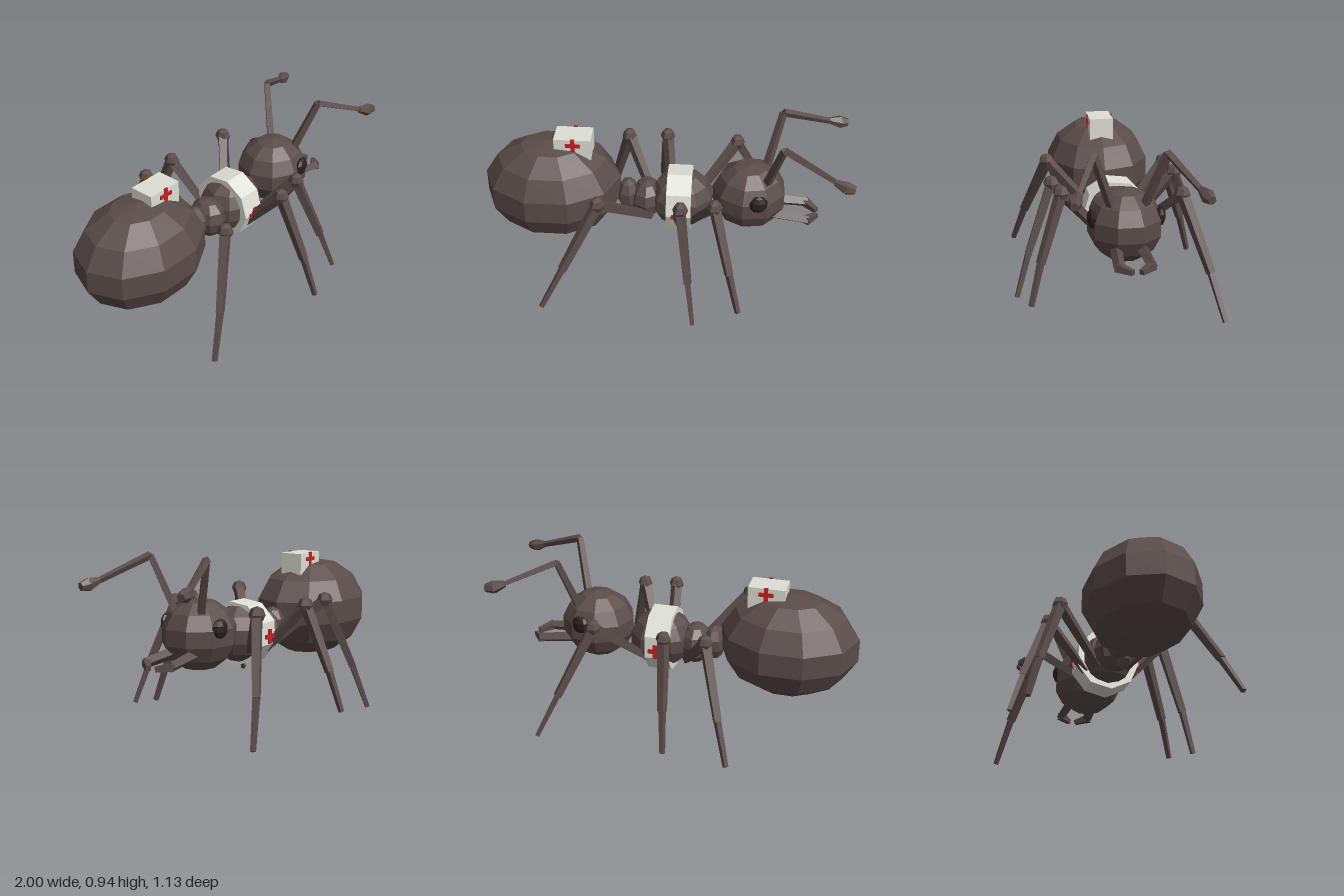
import * as THREE from 'three';

const paint = (name, color) => Object.assign(new THREE.MeshStandardMaterial({ color }), { name });
const V = (x, y, z) => new THREE.Vector3(x, y, z);

export function createModel() {
  const model = new THREE.Group();
  model.name = 'ant';
  const brown = paint('shell brown', 0x5a4c4a);
  const dark = paint('eye dark', 0x2a2021);
  const white = paint('bandage white', 0xdedfd6);
  const red = paint('cross red', 0xc9201f);

  // Faceted mesh: every face gets its own normal
  function add(name, geometry, material, parent = model) {
    const g = geometry.index ? geometry.toNonIndexed() : geometry;
    g.computeVertexNormals();
    const mesh = new THREE.Mesh(g, material);
    mesh.name = name;
    parent.add(mesh);
    return mesh;
  }
  // Low-poly ellipsoid
  function blob(name, c, r, w, h, material = brown, parent = model) {
    const g = new THREE.SphereGeometry(1, w, h).scale(r[0], r[1], r[2]);
    const m = add(name, g, material, parent);
    m.position.set(c[0], c[1], c[2]);
    return m;
  }
  // Tapered limb from a to b
  function limb(name, a, b, ra, rb, parent, sides = 4) {
    const d = b.clone().sub(a);
    const m = add(name, new THREE.CylinderGeometry(rb, ra, d.length(), sides), brown, parent);
    m.position.copy(a).addScaledVector(d, 0.5);
    m.quaternion.setFromUnitVectors(V(0, 1, 0), d.normalize());
    return m;
  }
  // Thin plus-shaped plate facing +z or -z
  function cross(name, x, y, z, half, arm) {
    const s = new THREE.Shape([
      [arm, arm], [arm, half], [-arm, half], [-arm, arm], [-half, arm], [-half, -arm],
      [-arm, -arm], [-arm, -half], [arm, -half], [arm, -arm], [half, -arm], [half, arm],
    ].map(([px, py]) => new THREE.Vector2(px, py)));
    const g = new THREE.ExtrudeGeometry(s, { depth: 0.008, bevelEnabled: false });
    g.translate(0, 0, -0.004);
    add(name, g, red).position.set(x, y, z);
  }

  // Body
  blob('abdomen', [-0.625, 0.512, 0], [0.385, 0.288, 0.307], 10, 7);
  blob('waistNode', [-0.21, 0.46, 0], [0.065, 0.1, 0.075], 7, 5);
  blob('rearThorax', [-0.105, 0.445, 0], [0.09, 0.115, 0.112], 8, 6);
  blob('thorax', [0.09, 0.455, 0], [0.18, 0.165, 0.168], 9, 7);
  blob('head', [0.46, 0.503, 0], [0.208, 0.193, 0.2], 9, 7);

  // Bandage ring around the thorax with a cross on each side
  const band = new THREE.CylinderGeometry(0.18, 0.18, 0.135, 9).rotateZ(Math.PI / 2).rotateX(0.05);
  add('bandage', band, white).position.set(0.078, 0.455, 0);

  // First-aid box on the abdomen
  add('firstAidBox', new THREE.BoxGeometry(0.2, 0.13, 0.136), white).position.set(-0.5, 0.78, 0);

  for (const s of [1, -1]) {
    cross('bandageCross', 0.08, 0.45, s * 0.185, 0.04, 0.012);
    cross('boxCross', -0.497, 0.81, s * 0.07, 0.04, 0.011);

    // Eye
    const eye = blob('eye', [0.51, 0.555, s * 0.175], [0.052, 0.052, 0.027], 8, 5, dark);
    eye.rotation.y = s * 0.2;

    // Antenna
    const antenna = new THREE.Group();
    antenna.name = 'antenna';
    model.add(antenna);
    const elbow = V(0.625, 0.918, s * 0.183), tip = V(0.92, 0.797, s * 0.3);
    limb('antennaBase', V(0.55, 0.63, s * 0.085), elbow, 0.026, 0.022, antenna);
    limb('antennaArm', elbow, tip, 0.022, 0.016, antenna);
    limb('antennaClubBack', V(0.885, 0.81, s * 0.29), V(0.945, 0.792, s * 0.31), 0.018, 0.036, antenna, 6);
    limb('antennaClubTip', V(0.945, 0.792, s * 0.31), V(0.99, 0.785, s * 0.32), 0.036, 0.022, antenna, 6);

    // Mandible
    const jaw = new THREE.Group();
    jaw.name = 'mandible';
    model.add(jaw);
    limb('mandibleBase', V(0.58, 0.42, s * 0.065), V(0.79, 0.395, s * 0.082), 0.033, 0.027, jaw);
    limb('mandibleTip', V(0.775, 0.395, s * 0.09), V(0.838, 0.385, s * 0.02), 0.03, 0.018, jaw);
  }

  // Legs: hip, knee, foot
  const legs = [
    ['leftFrontLeg', [0.15, 0.37, 0.1], [0.278, 0.625, 0.31], [0.425, 0.055, 0.49]],
    ['leftMiddleLeg', [0.07, 0.37, 0.12], [0.1, 0.625, 0.345], [0.183, 0.008, 0.55]],
    ['leftRearLeg', [-0.08, 0.37, 0.07], [-0.338, 0.625, 0.33], [-0.64, 0.055, 0.52]],
    ['rightFrontLeg', [0.15, 0.37, -0.1], [0.385, 0.625, -0.315], [0.67, 0.008, -0.495]],
    ['rightMiddleLeg', [0.03, 0.37, -0.12], [-0.015, 0.625, -0.35], [-0.063, 0.055, -0.555]],
    ['rightRearLeg', [-0.07, 0.37, -0.08], [-0.235, 0.625, -0.335], [-0.4, 0.008, -0.525]],
  ];
  for (const [name, h, k, f] of legs) {
    const leg = new THREE.Group();
    leg.name = name;
    model.add(leg);
    const hip = V(...h), knee = V(...k), foot = V(...f);
    const ankle = knee.clone().lerp(foot, 0.62);
    ankle.z += Math.sign(f[2]) * 0.01;
    limb('thigh', hip, knee, 0.026, 0.034, leg);
    blob('knee', k, [0.042, 0.044, 0.045], 6, 4, brown, leg);
    limb('shin', knee, ankle, 0.034, 0.026, leg);
    limb('foot', ankle, foot, 0.021, 0.016, leg);
  }
  return model;
}
